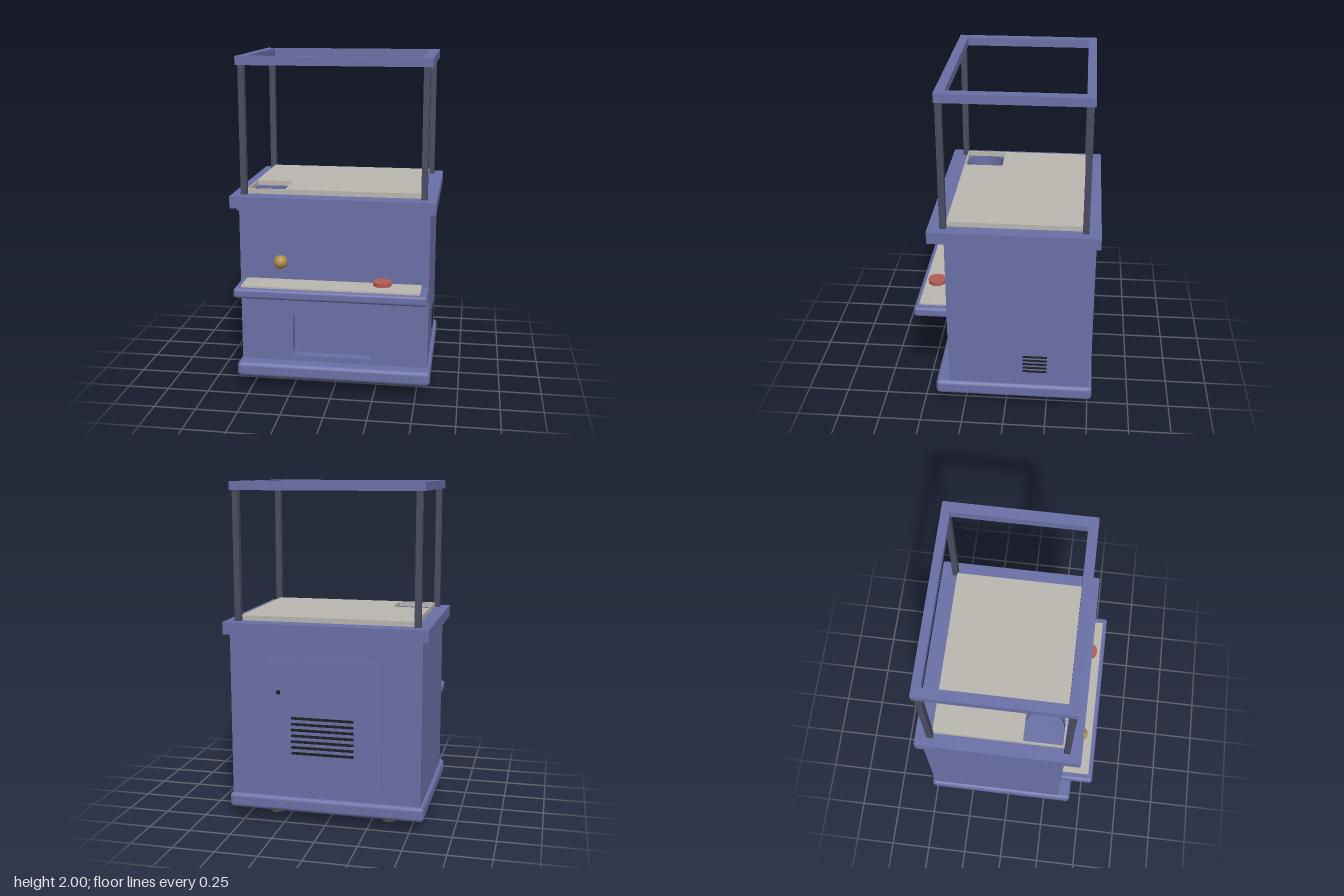
import * as THREE from 'three';
import { RoundedBoxGeometry } from 'three/addons/geometries/RoundedBoxGeometry.js';

const material = (name, color) => {
  const m = new THREE.MeshStandardMaterial({ color });
  m.name = name;
  return m;
};

// Rectangular outline with optional rounded corners
function rect(path, x0, y0, x1, y1, r = 0) {
  if (!r) {
    path.moveTo(x0, y0).lineTo(x1, y0).lineTo(x1, y1).lineTo(x0, y1).closePath();
    return path;
  }
  path.moveTo(x0 + r, y0);
  path.absarc(x1 - r, y0 + r, r, -Math.PI / 2, 0);
  path.absarc(x1 - r, y1 - r, r, 0, Math.PI / 2);
  path.absarc(x0 + r, y1 - r, r, Math.PI / 2, Math.PI);
  path.absarc(x0 + r, y0 + r, r, Math.PI, Math.PI * 1.5);
  path.closePath();
  return path;
}

export function createModel() {
  const blue = material('cabinet blue', 0x6a70a6);
  const beige = material('beige panel', 0xbab7b0);
  const slate = material('dark slate', 0x484c60);
  const rubber = material('dark rubber', 0x4a4c43);
  const black = material('vent black', 0x1e1f22);
  const gold = material('gold', 0xb08d4c);
  const red = material('red', 0xb45c56);

  const model = new THREE.Group();
  model.name = 'arcadeCabinet';

  const add = (name, geometry, mat, x = 0, y = 0, z = 0) => {
    const mesh = new THREE.Mesh(geometry, mat);
    mesh.name = name;
    mesh.position.set(x, y, z);
    model.add(mesh);
    return mesh;
  };
  // Box given by its limits on each axis, with optional rounded edges
  const block = (name, mat, [x0, x1], [y0, y1], [z0, z1], r = 0) => {
    const size = [x1 - x0, y1 - y0, z1 - z0];
    const g = r ? new RoundedBoxGeometry(...size, 3, r) : new THREE.BoxGeometry(...size);
    return add(name, g, mat, (x0 + x1) / 2, (y0 + y1) / 2, (z0 + z1) / 2);
  };
  // Horizontal slab from an outline drawn in x and -z
  const slab = (name, mat, shape, y0, y1) => {
    const g = new THREE.ExtrudeGeometry(shape, { depth: y1 - y0, bevelEnabled: false, curveSegments: 24 });
    g.rotateX(-Math.PI / 2);
    return add(name, g, mat, 0, y0, 0);
  };

  // Feet and plinth
  for (const x of [-0.35, 0.35]) {
    for (const z of [0.215, -0.315]) {
      add('foot', new THREE.CylinderGeometry(0.045, 0.045, 0.09, 24), rubber, x, 0.045, z);
    }
  }
  block('plinth', blue, [-0.585, 0.585], [0.075, 0.165], [-0.525, 0.425], 0.025);

  // Body with a recessed prize door in its front panel
  block('body', blue, [-0.565, 0.565], [0.15, 1.12], [-0.505, 0.29]);
  const front = rect(new THREE.Shape(), -0.565, 0.15, 0.565, 1.12);
  front.holes.push(rect(new THREE.Path(), -0.25, 0.2, 0.245, 0.475, 0.035));
  add('frontPanel', new THREE.ExtrudeGeometry(front, { depth: 0.055, bevelEnabled: false, curveSegments: 8 }),
    blue, 0, 0, 0.29);

  // Counter with a round prize chute
  block('counterLip', blue, [-0.565, 0.565], [1.11, 1.132], [-0.508, 0.405]);
  const counter = rect(new THREE.Shape(), -0.6, -0.44, 0.6, 0.54, 0.01);
  const chute = new THREE.Path();
  chute.absarc(-0.398, -0.205, 0.122, 0, Math.PI * 2);
  counter.holes.push(chute);
  slab('counter', blue, counter, 1.13, 1.2);

  // Play floor with a square opening above the chute
  const floor = rect(new THREE.Shape(), -0.515, -0.335, 0.515, 0.44);
  floor.holes.push(rect(new THREE.Path(), -0.506, -0.325, -0.29, -0.09, 0.01));
  slab('playFloor', beige, floor, 1.2, 1.23);

  // Corner posts and top frame
  for (const x of [-0.528, 0.528]) {
    for (const z of [0.352, -0.453]) {
      add('cornerPost', new THREE.BoxGeometry(0.036, 0.76, 0.036), slate, x, 1.575, z);
    }
  }
  const frame = rect(new THREE.Shape(), -0.563, -0.375, 0.563, 0.48, 0.008);
  frame.holes.push(rect(new THREE.Path(), -0.505, -0.32, 0.5, 0.43));
  slab('topFrame', blue, frame, 1.95, 2);

  // Control shelf, ball knob and button
  block('controlShelf', blue, [-0.565, 0.565], [0.615, 0.675], [0.32, 0.54], 0.018);
  block('controlPlate', beige, [-0.523, 0.523], [0.67, 0.685], [0.34, 0.512]);
  add('ballKnob', new THREE.SphereGeometry(0.04, 32, 20), gold, -0.3, 0.818, 0.437);
  add('button', new THREE.CylinderGeometry(0.053, 0.053, 0.024, 32), red, 0.3, 0.715, 0.437);

  // Service door on the back with lock and vents
  block('serviceDoor', blue, [-0.34, 0.34], [0.255, 0.995], [-0.52, -0.5]);
  block('doorLock', black, [0.262, 0.278], [0.79, 0.812], [-0.537, -0.515]);
  for (let i = 0; i < 7; i++) {
    const y = 0.44 + i * 0.035;
    block('backVent', black, [-0.175, 0.195], [y - 0.007, y + 0.007], [-0.527, -0.518]);
  }

  // Vents on the left side
  for (let i = 0; i < 5; i++) {
    const y = 0.263 + i * 0.026;
    block('sideVent', black, [0.563, 0.572], [y - 0.005, y + 0.005], [-0.25, -0.105]);
  }

  return model;
}
